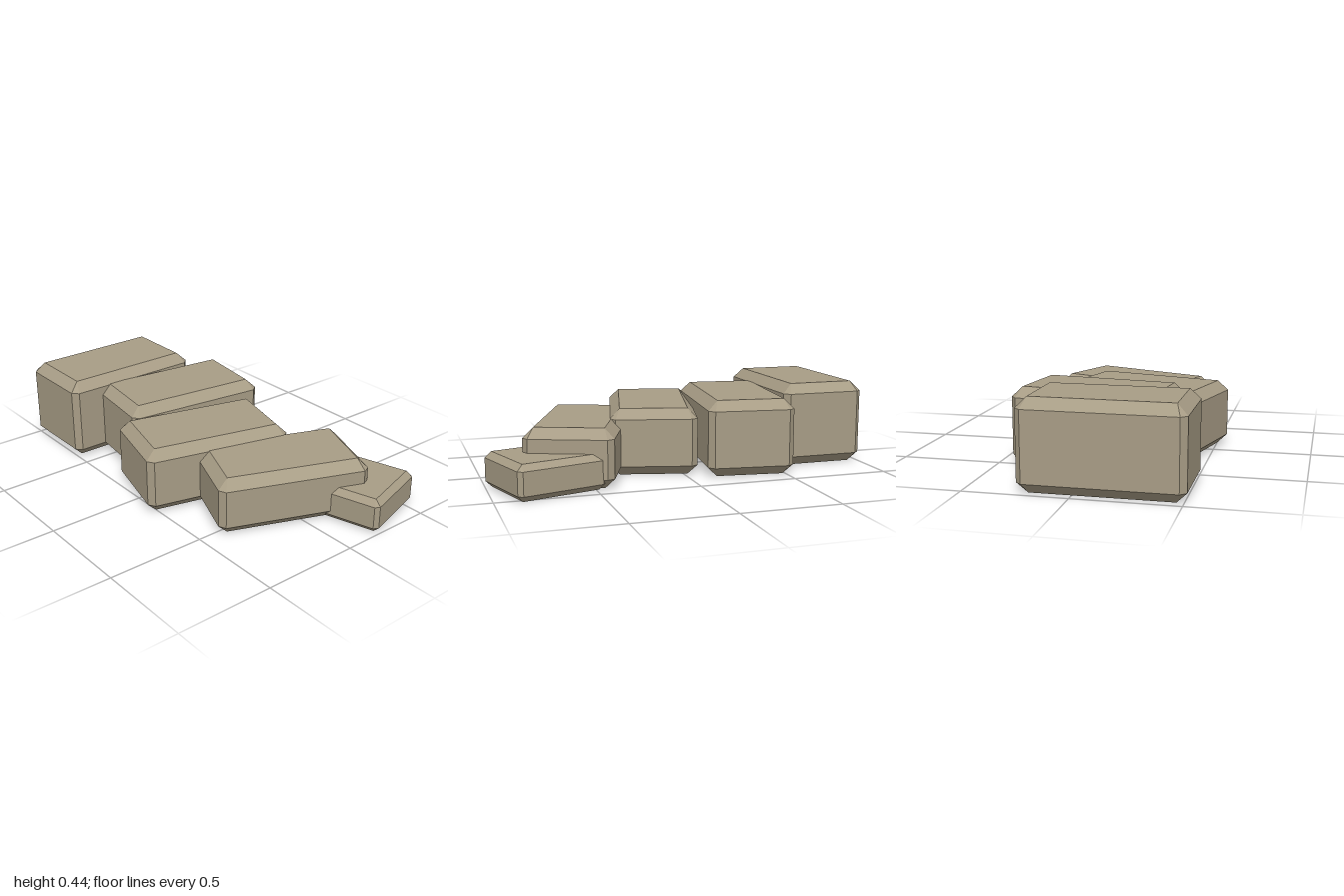
import * as THREE from 'three';
import { ConvexGeometry } from 'three/addons/geometries/ConvexGeometry.js';

// Box standing on y = 0 with all edges chamfered:
// inset = bevel of the top and bottom rims, corner = bevel of the upright edges
function chamferedBlock(w, h, d, inset, corner) {
  const points = [];
  for (const sx of [-1, 1]) for (const sz of [-1, 1]) {
    const x = w / 2, z = d / 2;
    for (const [capY, sideY] of [[0, inset], [h, h - inset]]) {
      points.push(
        new THREE.Vector3(sx * (x - inset), capY, sz * (z - inset)),
        new THREE.Vector3(sx * (x - corner), sideY, sz * z),
        new THREE.Vector3(sx * x, sideY, sz * (z - corner))
      );
    }
  }
  return new ConvexGeometry(points);
}

export function createModel() {
  const model = new THREE.Group();
  model.name = 'stoneBlocks';
  const stone = new THREE.MeshStandardMaterial({ color: 0xa89d86, flatShading: true });
  stone.name = 'stone';

  function addBlock(name, geometry, x, z, turn) {
    const mesh = new THREE.Mesh(geometry, stone);
    mesh.name = name;
    mesh.position.set(x, 0, z);
    mesh.rotation.y = turn;
    model.add(mesh);
  }

  // Four large blocks, each lower and turned further than the last
  const centres = [[-0.778, 0.133], [-0.357, -0.022], [0.063, 0.134], [0.489, -0.018]];
  centres.forEach(([x, z], i) => {
    const height = 0.435 - i * 0.047;
    addBlock(`largeBlock${i + 1}`, chamferedBlock(0.445, height, 0.765, 0.05, 0.03), x, z, -0.125 * i);
  });

  // Small block tucked behind the lowest large one
  addBlock('smallBlock', chamferedBlock(0.46, 0.176, 0.4, 0.03, 0.02), 0.725, -0.303, 0.289);

  return model;
}
